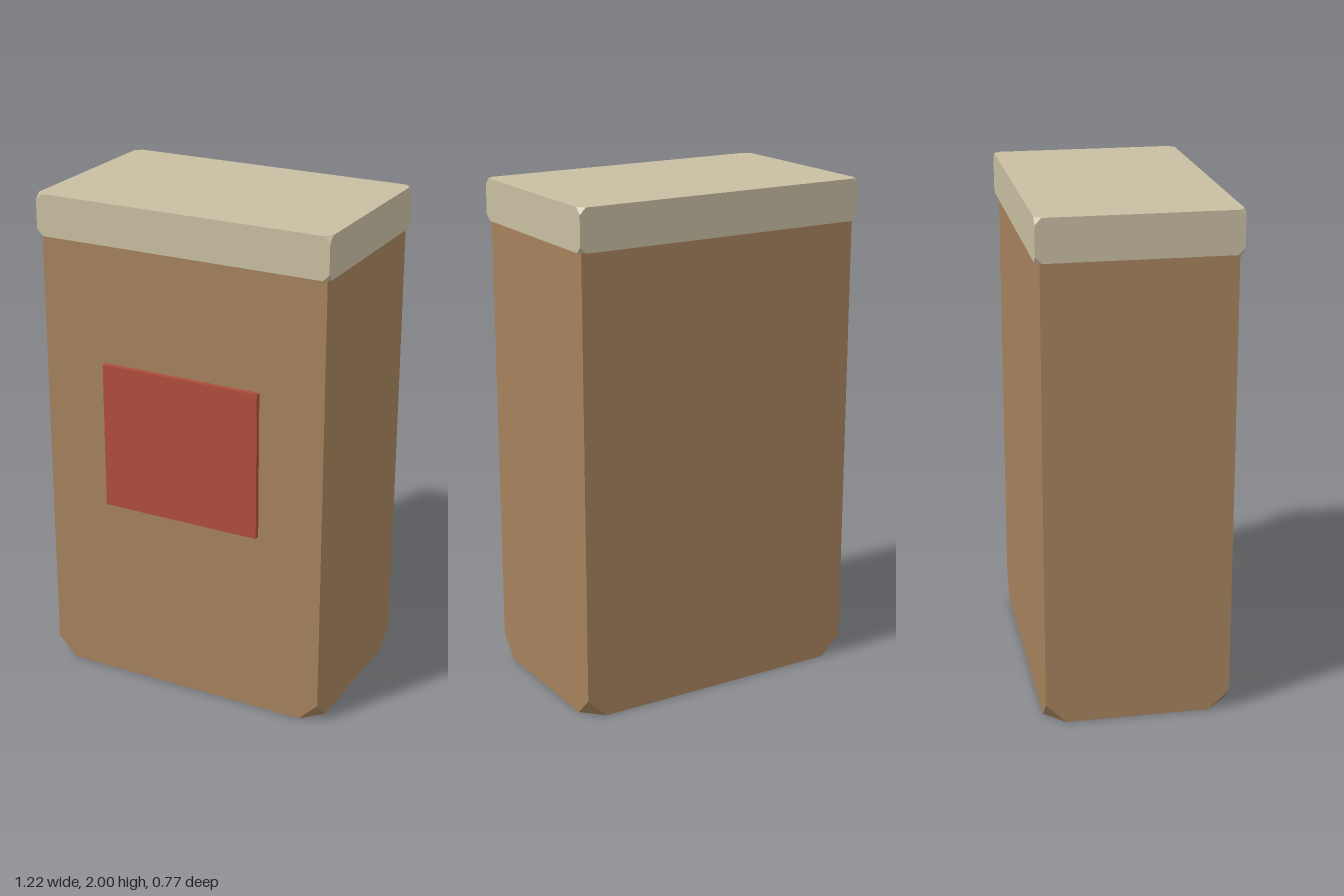
import * as THREE from 'three';
import { ConvexGeometry } from 'three/addons/geometries/ConvexGeometry.js';

const material = (name, color) => {
  const m = new THREE.MeshStandardMaterial({ color });
  m.name = name;
  return m;
};

// Box with its eight corners cut off diagonally; c is the cut length along each edge
function cutCornerBox(w, h, d, c) {
  const points = [];
  for (const sx of [-1, 1]) for (const sy of [-1, 1]) for (const sz of [-1, 1]) {
    const x = sx * w / 2, y = sy * h / 2, z = sz * d / 2;
    points.push(
      new THREE.Vector3(x - sx * c, y, z),
      new THREE.Vector3(x, y - sy * c, z),
      new THREE.Vector3(x, y, z - sz * c)
    );
  }
  return new ConvexGeometry(points);
}

export function createModel() {
  const group = new THREE.Group();
  group.name = 'box';
  const brown = material('brown', 0xa5825c);
  const cream = material('cream', 0xc8bda1);
  const red = material('red', 0xae4d3b);

  const add = (name, mat, [w, h, d], cut, y, z) => {
    const mesh = new THREE.Mesh(cutCornerBox(w, h, d, cut), mat);
    mesh.name = name;
    mesh.position.set(0, y, z);
    group.add(mesh);
  };

  // Tall body, reaching up inside the lid
  add('body', brown, [1.194, 1.92, 0.727], 0.08, 0.96, -0.002);
  // Overhanging lid
  add('lid', cream, [1.22, 0.165, 0.76], 0.025, 1.9175, -0.003);
  // Label plate on the front
  add('label', red, [0.664, 0.596, 0.032], 0.005, 1.06, 0.367);

  return group;
}
